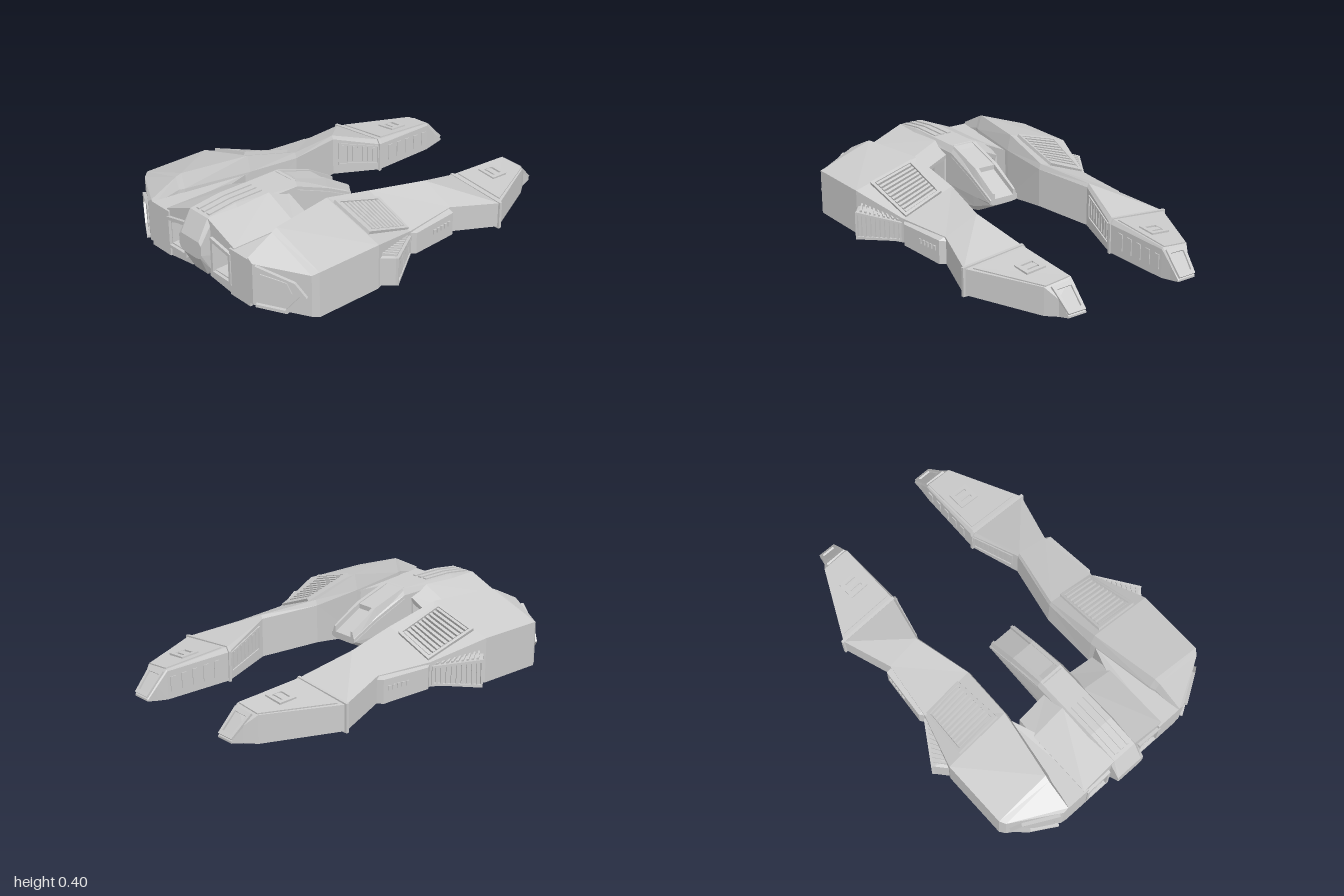
import * as THREE from 'three';
import { mergeGeometries } from 'three/addons/utils/BufferGeometryUtils.js';

const material = new THREE.MeshStandardMaterial({ color: 0xcccccc, flatShading: true });

// Swap two corners of every triangle of a non-indexed geometry
function flip(g) {
  const p = g.attributes.position.array;
  for (let i = 0; i < p.length; i += 9)
    for (let k = 0; k < 3; k++) [p[i + 3 + k], p[i + 6 + k]] = [p[i + 6 + k], p[i + 3 + k]];
  return g;
}

// Solid through rings of equal point count, always facing outwards.
// Capped at both ends, or joined last to first when looped.
function solid(rings, looped = false) {
  const n = rings[0].length, m = rings.length, out = [];
  const tri = (a, b, c) => out.push(...a, ...b, ...c);
  for (let i = 0; i < (looped ? m : m - 1); i++)
    for (let j = 0; j < n; j++) {
      const k = (j + 1) % n, A = rings[i], B = rings[(i + 1) % m];
      tri(A[j], A[k], B[k]);
      tri(A[j], B[k], B[j]);
    }
  const first = rings[0], last = rings[m - 1];
  for (let j = 1; j < n - 1 && !looped; j++) {
    tri(first[0], first[j + 1], first[j]);
    tri(last[0], last[j], last[j + 1]);
  }
  const g = new THREE.BufferGeometry();
  g.setAttribute('position', new THREE.Float32BufferAttribute(out, 3));
  let volume = 0;
  const [a, b, c] = [0, 0, 0].map(() => new THREE.Vector3());
  for (let i = 0; i < out.length; i += 9) {
    a.fromArray(out, i); b.fromArray(out, i + 3); c.fromArray(out, i + 6);
    volume += a.dot(b.cross(c));
  }
  return volume < 0 ? flip(g) : g;
}

// Sections along x: [x, [z, y], [z, y], ...]
const loft = (sections, looped) => solid(sections.map(([x, ...pts]) => pts.map(([z, y]) => [x, y, z])), looped);

// Raised slab on part of a four-cornered face (u runs a to b, v runs a to d)
function slab(face, u0, u1, v0, v1, h) {
  const [a, b, c, d] = face.map(p => new THREE.Vector3(...p));
  const n = b.clone().sub(a).cross(d.clone().sub(a)).normalize();
  const at = (u, v, o) => a.clone().lerp(b, u).lerp(d.clone().lerp(c, u), v).addScaledVector(n, o).toArray();
  return solid([-0.012, h].map(o => [at(u0, v0, o), at(u1, v0, o), at(u1, v1, o), at(u0, v1, o)]));
}

// Rim of four slabs around a face
const frame = (f, t, s, h) => [slab(f, 0, 1, 0, s, h), slab(f, 0, 1, 1 - s, 1, h),
  slab(f, 0, t, 0, 1, h), slab(f, 1 - t, 1, 0, 1, h)];

// Row of bars across a face
const bars = (f, count, h, v0 = 0.1, v1 = 0.9, fill = 0.5) => Array.from({ length: count }, (_, i) =>
  slab(f, 0.05 + 0.9 * (i + 0.5 - fill / 2) / count, 0.05 + 0.9 * (i + 0.5 + fill / 2) / count, v0, v1, h));

export function createModel() {
  const model = new THREE.Group();
  const add = (name, parts) => {
    const g = mergeGeometries(parts);
    g.computeVertexNormals();
    const mesh = new THREE.Mesh(g, material);
    mesh.name = name;
    model.add(mesh);
  };
  const addPair = (name, parts) => {
    add(name + 'Left', parts.map(g => g.clone()));
    add(name + 'Right', parts.map(g => flip(g.clone().scale(1, 1, -1))));
  };

  // Side hulls: inner bottom, inner shoulder, ridge, outer edge, outer bottom
  addPair('sideHull', [loft([
    [-0.95, [0.37, 0.06], [0.37, 0.27], [0.38, 0.3], [0.41, 0.28], [0.41, 0.06]],
    [-0.8, [0.34, 0.03], [0.355, 0.31], [0.375, 0.375], [0.655, 0.265], [0.655, 0.045]],
    [-0.77, [0.335, 0.03], [0.345, 0.31], [0.37, 0.388], [0.675, 0.28], [0.675, 0.04]],
    [-0.4, [0.29, 0.03], [0.285, 0.3], [0.305, 0.385], [0.675, 0.28], [0.675, 0.04]],
    [-0.1, [0.275, 0.07], [0.275, 0.28], [0.285, 0.31], [0.58, 0.2], [0.58, 0.07]],
    [0.22, [0.345, 0.05], [0.345, 0.26], [0.355, 0.28], [0.54, 0.2], [0.54, 0.06]],
    [0.5, [0.27, 0.01], [0.27, 0.165], [0.285, 0.19], [0.625, 0.155], [0.625, 0.02]],
    [0.88, [0.28, 0.005], [0.28, 0.155], [0.285, 0.165], [0.44, 0.15], [0.44, 0.005]],
    [0.94, [0.285, 0.013], [0.285, 0.09], [0.29, 0.1], [0.4, 0.1], [0.4, 0.013]],
    [1, [0.285, 0.025], [0.285, 0.03], [0.29, 0.035], [0.39, 0.035], [0.39, 0.025]],
  ])]);

  // Slatted panel on the shoulder
  const grille = [[-0.39, 0.305, 0.595], [-0.1, 0.205, 0.565], [-0.1, 0.29, 0.35], [-0.39, 0.375, 0.345]];
  addPair('topGrille', [...frame(grille, 0.06, 0.06, 0.012), ...bars(grille, 10, 0.01, 0.08, 0.92, 0.55)]);

  // Louvred vent standing out from the flank
  const vent = [[-0.33, 0.05, 0.72], [-0.11, 0.08, 0.58], [-0.11, 0.18, 0.58], [-0.33, 0.2, 0.72]];
  const ventTop = [[-0.33, 0.2, 0.72], [-0.11, 0.18, 0.58], [-0.19, 0.2, 0.57], [-0.4, 0.215, 0.66]];
  addPair('sideVent', [
    loft([[-0.4, [0.55, 0.05], [0.55, 0.215], [0.66, 0.2], [0.66, 0.05]],
      [-0.33, [0.55, 0.05], [0.55, 0.215], [0.72, 0.2], [0.72, 0.05]],
      [-0.11, [0.55, 0.08], [0.55, 0.19], [0.58, 0.18], [0.58, 0.08]]]),
    ...frame(vent, 0.04, 0.1, 0.014), ...bars(vent, 9, 0.01, 0.08, 0.92, 0.45),
    ...bars(ventTop, 9, 0.01, 0, 0.9, 0.45)]);

  // Blister along the waist, with small ports
  const waist = [[-0.07, 0.07, 0.597], [0.21, 0.07, 0.572], [0.21, 0.185, 0.572], [-0.07, 0.185, 0.597]];
  addPair('waistBlister', [
    loft([[-0.1, [0.5, 0.07], [0.5, 0.21], [0.575, 0.19], [0.575, 0.07]],
      [-0.07, [0.5, 0.06], [0.5, 0.215], [0.597, 0.185], [0.597, 0.07]],
      [0.21, [0.5, 0.05], [0.5, 0.21], [0.572, 0.185], [0.572, 0.06]],
      [0.23, [0.5, 0.05], [0.5, 0.2], [0.54, 0.18], [0.54, 0.06]]]),
    ...[0, 1, 2, 3, 4].map(i => slab(waist, 0.45 + i * 0.1, 0.51 + i * 0.1, 0.48, 0.7, 0.007))]);

  // Collar where the prong begins
  addPair('prongCollar', [loft([0.492, 0.508].map(x =>
    [x, [0.263, 0.005], [0.263, 0.17], [0.28, 0.196], [0.634, 0.162], [0.634, 0.012]]))]);

  // Prong deck: raised plate, hatch and tip frame
  const deck = [[0.53, 0.155, 0.6], [0.88, 0.15, 0.435], [0.88, 0.164, 0.29], [0.53, 0.187, 0.29]];
  const hatch = [[0.65, 0.165, 0.44], [0.75, 0.161, 0.44], [0.75, 0.17, 0.33], [0.65, 0.176, 0.33]];
  const tip = [[0.89, 0.145, 0.41], [0.995, 0.04, 0.39], [0.995, 0.04, 0.29], [0.89, 0.15, 0.29]];
  addPair('prongDeck', [slab(deck, 0, 1, 0.02, 0.98, 0.007), ...frame(hatch, 0.2, 0.2, 0.014),
    slab(hatch, 0.35, 0.65, 0.1, 0.9, 0.012)]);
  addPair('prongTipFrame', frame(tip, 0.15, 0.15, 0.012));

  // Slots on the inner faces of the prong
  const slots = [[0.9, 0.03, 0.281], [0.53, 0.03, 0.271], [0.53, 0.155, 0.271], [0.9, 0.13, 0.281]];
  const ribs = [[0.49, 0.05, 0.273], [0.25, 0.1, 0.338], [0.25, 0.23, 0.338], [0.49, 0.16, 0.273]];
  addPair('innerSlots', [...bars(slots, 5, 0.005, 0.15, 0.9, 0.45),
    ...frame(ribs, 0.03, 0.07, 0.007), ...bars(ribs, 7, 0.005, 0.15, 0.9, 0.4)]);

  // Pointed plate on the slanted rear corner, in an upper and a lower half
  const upper = [[-0.94, 0.16, 0.425], [-0.81, 0.15, 0.64], [-0.84, 0.22, 0.59], [-0.94, 0.28, 0.425]];
  const lower = [[-0.94, 0.06, 0.425], [-0.86, 0.05, 0.557], [-0.81, 0.15, 0.64], [-0.94, 0.16, 0.425]];
  addPair('rearPlate', [slab(upper, 0, 1, 0.8, 1, 0.018), slab(upper, 0.86, 1, 0, 1, 0.018),
    slab(lower, 0, 1, 0, 0.15, 0.018), slab(lower, 0.86, 1, 0, 1, 0.018),
    slab(upper, 0.1, 0.7, 0, 0.65, 0.007), slab(lower, 0.1, 0.7, 0.3, 1, 0.007)]);

  // Solid web joining the window frame and the side hull
  addPair('hullWeb', [solid([[0.04, 0], [0.29, 0.02]].map(([y, lift]) => [
    [-0.95, y, 0.24], [-0.95, y, 0.39], [-0.4, y, 0.3], [-0.57, y + lift / 2, 0.24]]))]);

  // Open window frames between the centre and the side hulls, tapered to the front
  addPair('windowFrame', [loft([
    [-0.94, [0.07, 0.06], [0.265, 0.035], [0.265, 0.295], [0.07, 0.375]],
    [-0.57, [0.07, 0.06], [0.265, 0.02], [0.262, 0.295], [0.07, 0.385]],
    [-0.45, [0.07, 0.085], [0.25, 0.07], [0.25, 0.265], [0.07, 0.345]],
    [-0.455, [0.095, 0.105], [0.24, 0.09], [0.24, 0.245], [0.095, 0.305]],
    [-0.52, [0.115, 0.115], [0.23, 0.115], [0.23, 0.23], [0.115, 0.265]],
    [-0.94, [0.115, 0.115], [0.23, 0.115], [0.23, 0.23], [0.115, 0.265]]], true)]);
  const rear = [[-0.941, 0.09, 0.1], [-0.941, 0.09, 0.25], [-0.941, 0.26, 0.25], [-0.941, 0.29, 0.1]];
  addPair('rearWindowRim', frame(rear, 0.1, 0.1, 0.015));

  // Central hull: mirrored half sections [x, top, shoulder, waist, chine, bottom]
  add('centreHull', [loft([
    [-1, 0.265, 0.25, 0.2, 0.18, 0.17], [-0.94, 0.375, 0.34, 0.18, 0.1, 0.06],
    [-0.77, 0.395, 0.365, 0.18, 0.09, 0.045], [-0.4, 0.395, 0.36, 0.18, 0.09, 0.05],
    [-0.2, 0.3, 0.28, 0.18, 0.12, 0.09], [-0.04, 0.205, 0.2, 0.185, 0.175, 0.17],
  ].map(([x, top, shoulder, waistY, chine, bottom]) => {
    const half = [[0.068, top], [0.086, shoulder], [0.086, waistY], [0.078, chine], [0.05, bottom]];
    return [x, ...half, ...half.map(([z, y]) => [-z, y]).reverse()];
  }))]);

  // Rails flanking the sunken nose deck, and the hood above it
  addPair('noseRail', [loft([
    [-0.4, [0.05, 0.34], [0.05, 0.397], [0.07, 0.397], [0.087, 0.34]],
    [-0.2, [0.05, 0.26], [0.05, 0.33], [0.07, 0.33], [0.087, 0.26]],
    [-0.04, [0.058, 0.18], [0.058, 0.235], [0.07, 0.235], [0.087, 0.18]]])]);
  add('noseHood', [loft([
    [-0.42, [0.06, 0.34], [0.06, 0.397], [-0.06, 0.397], [-0.06, 0.34]],
    [-0.2, [0.06, 0.26], [0.06, 0.325], [-0.06, 0.325], [-0.06, 0.26]]])]);

  // Long strips on the spine
  add('spineStrips', [-0.045, -0.005, 0.035].map(z => loft([[-0.92, 0.385], [-0.77, 0.402], [-0.6, 0.402]]
    .map(([x, y]) => [x, [z, 0.37], [z, y], [z + 0.022, y], [z + 0.022, 0.37]]))));

  return model;
}
